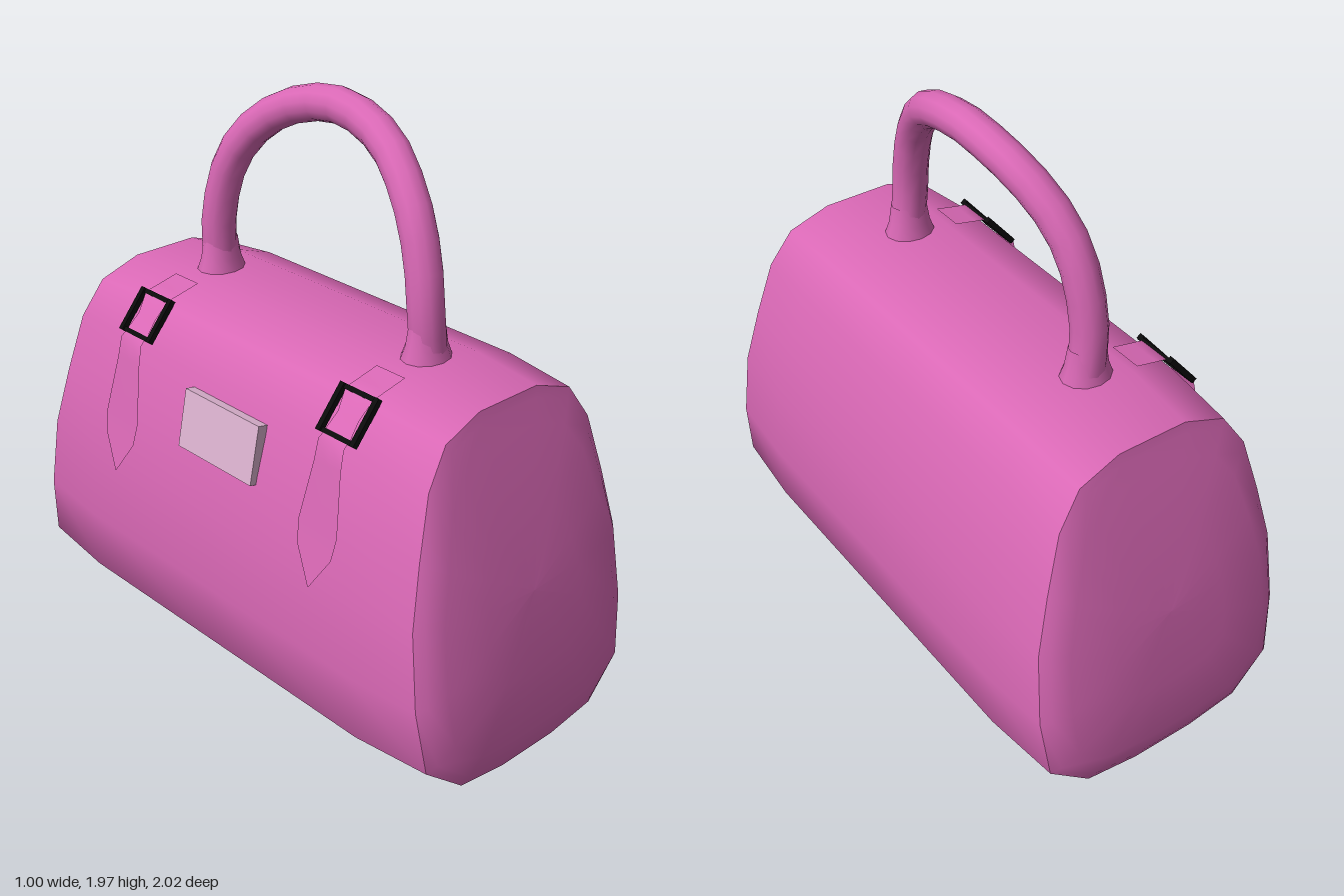
import * as THREE from 'three';

const pink = new THREE.MeshStandardMaterial({ color: 0xd968b5, side: THREE.DoubleSide });
pink.name = 'pink leather';
const black = new THREE.MeshStandardMaterial({ color: 0x0a0a0a });
black.name = 'black metal';
const silver = new THREE.MeshStandardMaterial({ color: 0xdbb2cf });
silver.name = 'pale plate';

// Cross-section of the bag, right half from bottom to top, then mirrored
const half = [[0.12, 0.005], [0.32, 0.03], [0.47, 0.15], [0.495, 0.38], [0.48, 0.65],
  [0.43, 0.86], [0.37, 1.07], [0.285, 1.195], [0.13, 1.25]];
const profile = [...half, ...half.map(([x, y]) => [-x, y]).reverse()];
const MID = 0.625;
const END = 0.96;
const edgeZ = (y) => 0.82 + ((1.22 - y) / 1.19) * 0.16;
const bulge = (y) => 0.068 * Math.max(0, 1 - ((y - 0.45) / 0.78) ** 2);

function named(name, geometry, material) {
  const mesh = new THREE.Mesh(geometry, material);
  mesh.name = name;
  return mesh;
}

// Skin over rows of points; closed rows wrap around
function skin(rows, closed) {
  const n = rows[0].length;
  const index = [];
  for (let i = 0; i < rows.length - 1; i++) {
    for (let j = 0; j < (closed ? n : n - 1); j++) {
      const k = (j + 1) % n;
      const a = i * n + j, b = i * n + k, c = a + n, d = b + n;
      index.push(a, b, d, a, d, c);
    }
  }
  const g = new THREE.BufferGeometry();
  g.setAttribute('position', new THREE.Float32BufferAttribute(rows.flat(2), 3));
  g.setIndex(index);
  g.computeVertexNormals();
  return g;
}

// Profile scaled about its middle, with z given by a rule on height
const ring = (s, zAt) => profile.map(([x, y]) => {
  const py = MID + (y - MID) * s;
  return [x * s, py, zAt(py)];
});

function strap(name, points, z) {
  const rows = points.map(([x, y, w]) => [[x, y, z - w], [x, y, z], [x, y, z + w]]);
  return named(name, skin(rows, false), pink);
}

export function createModel() {
  const bag = new THREE.Group();
  bag.name = 'handbag';

  // Body tapering slightly toward both ends
  const stations = [[-1, END], [-0.7, 1], [0, 1], [0.7, 1], [1, END]];
  bag.add(named('body', skin(stations.map(([t, s]) => ring(s, (y) => t * edgeZ(y))), true), pink));

  // Softly bulging end panels
  const capGeometry = skin([1, 0.94, 0.82, 0.45, 0].map((r) =>
    ring(END * r, (y) => edgeZ(y) + bulge(y) * (1 - r ** 8))), true);
  for (const side of [1, -1]) {
    const cap = named(side > 0 ? 'frontPanel' : 'backPanel', capGeometry, pink);
    if (side < 0) cap.rotation.y = Math.PI;
    bag.add(cap);
  }

  // Arched handle leaning to one side
  const arch = [[0, 1.23, 0.495], [-0.015, 1.4, 0.49], [-0.01, 1.53, 0.47], [0.002, 1.66, 0.425],
    [0.025, 1.765, 0.35], [0.055, 1.845, 0.25], [0.077, 1.893, 0.13]];
  const path = [...arch, [0.084, 1.912, 0], ...arch.map(([x, y, z]) => [x, y, -z]).reverse()];
  const curve = new THREE.CatmullRomCurve3(path.map((p) => new THREE.Vector3(...p)));
  bag.add(named('handle', new THREE.TubeGeometry(curve, 20, 0.06, 12), pink));

  const footGeometry = new THREE.LatheGeometry(
    [[0.09, 1.23], [0.088, 1.25], [0.073, 1.29], [0.062, 1.36]].map((p) => new THREE.Vector2(...p)), 12);
  for (const side of [1, -1]) {
    const end = side > 0 ? 'front' : 'back';
    const z = side * 0.49;

    // Flared handle foot
    const foot = named(end + 'HandleFoot', footGeometry, pink);
    foot.position.set(-0.008, 0, z);
    foot.scale.z = 0.83;
    bag.add(foot);

    // Strap over the top edge, then a pointed hanging tongue
    bag.add(strap(end + 'TopStrap', [[-0.16, 1.246, 0.06], [-0.24, 1.228, 0.06],
      [-0.29, 1.218, 0.06], [-0.335, 1.158, 0.045], [-0.385, 1.103, 0.055]], z));
    bag.add(strap(end + 'HangingStrap', [[-0.375, 1.112, 0.05], [-0.405, 1.09, 0.055],
      [-0.42, 1.02, 0.058], [-0.46, 0.82, 0.085], [-0.475, 0.745, 0.075], [-0.5, 0.63, 0.002]], z));

    // Rectangular buckle
    const buckle = new THREE.Group();
    buckle.name = end + 'Buckle';
    for (const s of [1, -1]) {
      const sideBar = named('buckleSide', new THREE.BoxGeometry(0.162, 0.02, 0.018), black);
      sideBar.position.z = s * 0.073;
      const endBar = named('buckleEnd', new THREE.BoxGeometry(0.016, 0.014, 0.15), black);
      endBar.position.set(s * 0.073, -0.004, 0);
      buckle.add(sideBar, endBar);
    }
    buckle.position.set(-0.335, 1.162, z);
    buckle.rotation.z = Math.atan2(0.12, 0.1);
    bag.add(buckle);
  }

  // Plain plate on the side
  const plate = named('sidePlate', new THREE.BoxGeometry(0.036, 0.2, 0.36), silver);
  plate.position.set(-0.423, 0.93, 0);
  plate.rotation.z = -0.2;
  bag.add(plate);

  return bag;
}
